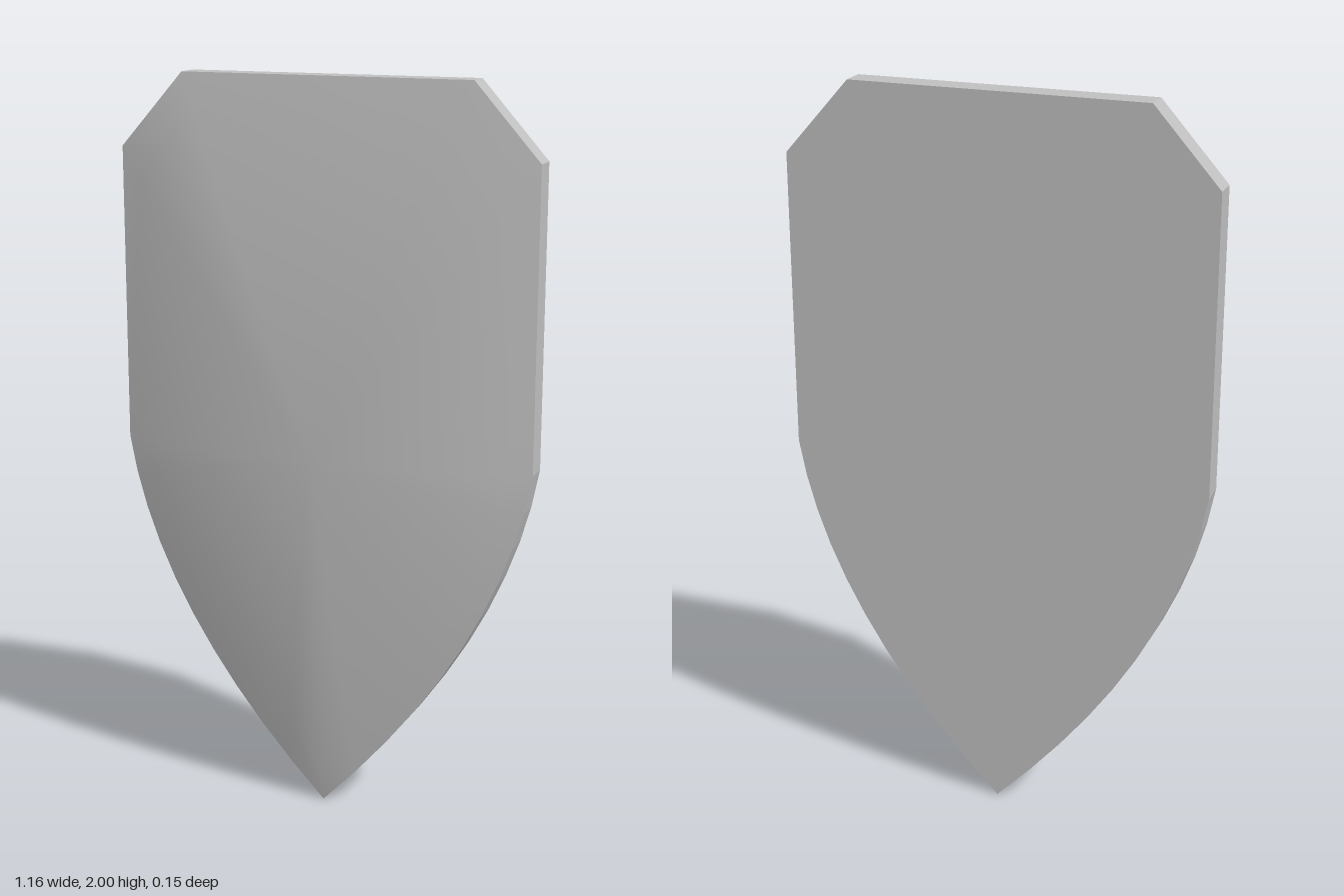
import * as THREE from 'three';

const BACK = -0.078, RIM = -0.008, PEAK = 0.075; // depths of the back, rim and crown
const CENTRE_Y = 1;

// Half of the outline, mirrored into a closed counter-clockwise loop
function makeOutline() {
  const curve = new THREE.QuadraticBezierCurve(
    new THREE.Vector2(0, 0), new THREE.Vector2(0.5, 0.5), new THREE.Vector2(0.578, 1));
  const right = [...curve.getPoints(10), new THREE.Vector2(0.578, 1.8), new THREE.Vector2(0.4, 2)];
  const left = right.slice(1).reverse().map(p => new THREE.Vector2(-p.x, p.y));
  return [...right, ...left];
}

// Domed face: concentric copies of the outline rising to the crown
function domeGeometry(outline, rings) {
  const n = outline.length, positions = [0, CENTRE_Y, PEAK], index = [];
  for (let r = 1; r <= rings; r++) {
    const s = r / rings;
    const z = RIM + (PEAK - RIM) * (1 - s * s);
    for (const p of outline) positions.push(p.x * s, CENTRE_Y + (p.y - CENTRE_Y) * s, z);
  }
  for (let i = 0; i < n; i++) {
    const j = (i + 1) % n;
    index.push(0, 1 + i, 1 + j);
    for (let r = 1; r < rings; r++) {
      const a = 1 + (r - 1) * n, b = a + n;
      index.push(a + i, b + i, b + j, a + i, b + j, a + j);
    }
  }
  const g = new THREE.BufferGeometry();
  g.setAttribute('position', new THREE.Float32BufferAttribute(positions, 3));
  g.setIndex(index);
  g.computeVertexNormals();
  return g;
}

export function createModel() {
  const group = new THREE.Group();
  group.name = 'shield';
  const grey = new THREE.MeshStandardMaterial({ color: 0xc0c0c0 });
  grey.name = 'light grey';
  const outline = makeOutline();

  // Flat backing slab
  const slab = new THREE.ExtrudeGeometry(new THREE.Shape(outline), { depth: RIM - BACK, bevelEnabled: false });
  slab.translate(0, 0, BACK);
  const backPlate = new THREE.Mesh(slab, grey);
  backPlate.name = 'backPlate';

  // Curved front
  const frontDome = new THREE.Mesh(domeGeometry(outline, 10), grey);
  frontDome.name = 'frontDome';

  group.add(backPlate, frontDome);
  return group;
}
